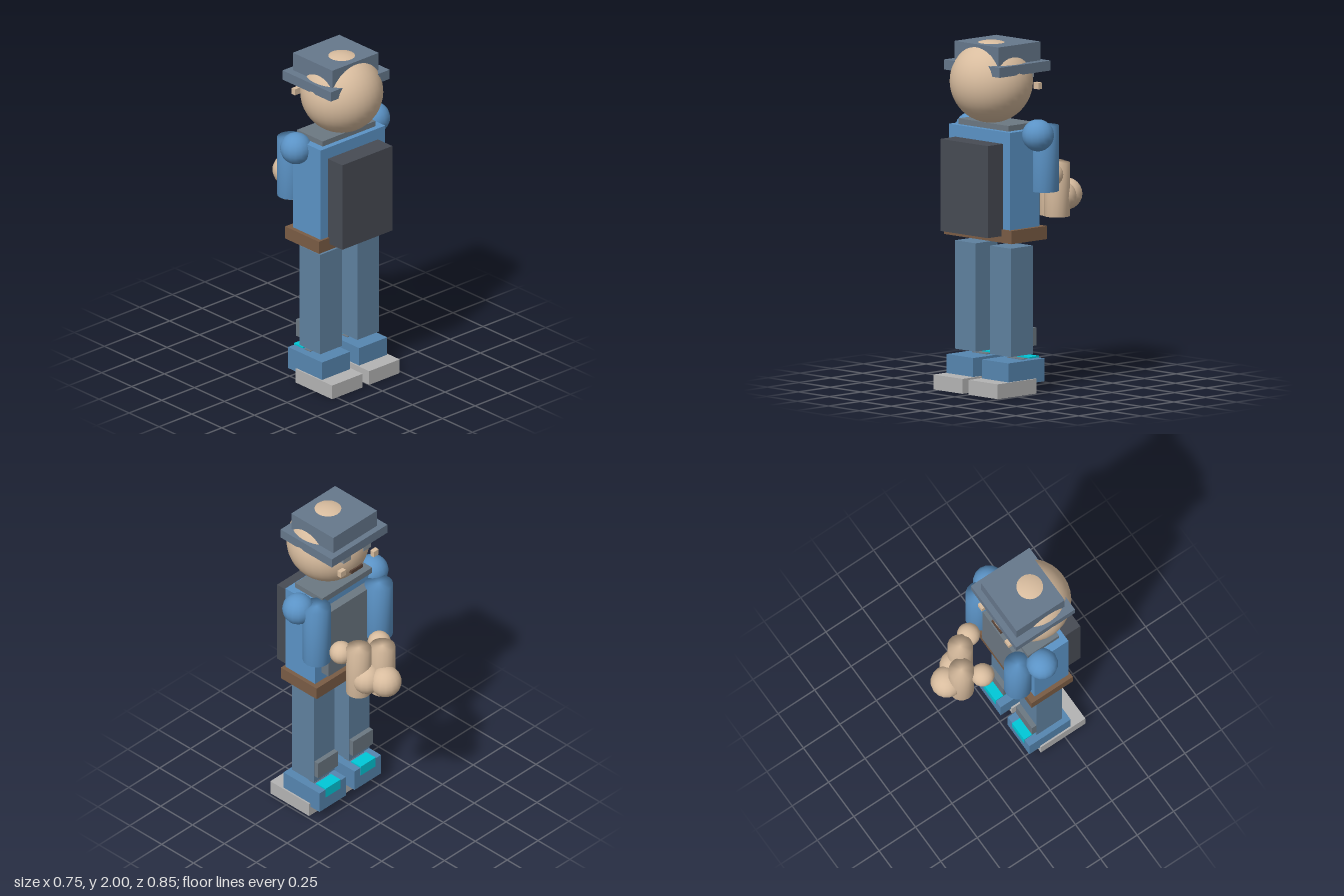
import * as THREE from 'three';
import { mergeVertices } from 'three/addons/utils/BufferGeometryUtils.js';

const mat = (color) => new THREE.MeshStandardMaterial({ color });
const COLORS = {
  skin: mat(0xd9bd9f), shirt: mat(0x5b93c6), trousers: mat(0x5f819f), shoe: mat(0x5686b0),
  hat: mat(0x66788c), plate: mat(0x6c7882), pack: mat(0x474b54), belt: mat(0x7a5c45),
  sole: mat(0xb4b4b4), lace: mat(0x00c8d8), eye: mat(0x8a949c), mouth: mat(0x5a4438),
};

export function createModel() {
  const model = new THREE.Group();
  model.name = 'figure';

  const add = (name, geometry, color, x, y, z) => {
    const mesh = new THREE.Mesh(geometry, COLORS[color]);
    mesh.name = name;
    mesh.position.set(x, y, z);
    model.add(mesh);
    return mesh;
  };

  // Box given by its [min, max] extents along each axis
  const box = (name, color, [x0, x1], [y0, y1], [z0, z1]) =>
    add(name, new THREE.BoxGeometry(x1 - x0, y1 - y0, z1 - z0), color,
      (x0 + x1) / 2, (y0 + y1) / 2, (z0 + z1) / 2);

  const ball = (name, color, r, x, y, z, seg = 16) =>
    add(name, new THREE.SphereGeometry(r, seg, Math.round(seg * 0.75)), color, x, y, z);

  // Upright cylinder whose normals flow smoothly over the cap edges
  const limb = (name, color, r, x, [y0, y1], z) => {
    let g = new THREE.CylinderGeometry(r, r, y1 - y0, 16);
    g.deleteAttribute('normal');
    g.deleteAttribute('uv');
    g = mergeVertices(g);
    g.computeVertexNormals();
    return add(name, g, color, x, (y0 + y1) / 2, z);
  };

  const cx = -0.025; // body centre line

  // Head and hat
  ball('head', 'skin', 0.235, cx, 1.765, 0.188, 32);
  box('hatBrim', 'hat', [-0.25, 0.2], [1.823, 1.88], [-0.06, 0.342]);
  box('hatCrown', 'hat', [-0.203, 0.152], [1.88, 1.987], [-0.025, 0.304]);

  // Face
  for (const [side, s] of [['left', 1], ['right', -1]]) {
    const eye = cx + s * 0.08, cheek = cx + s * 0.133;
    box(side + 'Eye', 'eye', [eye - 0.03, eye + 0.03], [1.775, 1.822], [-0.042, -0.018]);
    box(side + 'Cheek', 'skin', [cheek - 0.02, cheek + 0.02], [1.71, 1.747], [-0.062, -0.035]);
  }
  box('mouth', 'mouth', [cx - 0.045, cx + 0.045], [1.668, 1.69], [-0.042, -0.018]);

  // Torso
  box('collar', 'plate', [-0.227, 0.177], [1.5, 1.537], [0.037, 0.25]);
  box('torso', 'shirt', [-0.272, 0.222], [0.95, 1.505], [0.05, 0.282]);
  box('chestPlate', 'plate', [-0.22, 0.17], [1.003, 1.45], [-0.005, 0.055]);
  box('backpack', 'pack', [-0.217, 0.166], [0.912, 1.437], [0.28, 0.402]);
  box('belt', 'belt', [-0.297, 0.247], [0.875, 0.95], [0.013, 0.295]);

  // Arms: shoulder, upper arm, elbow, forearm, hand
  const arms = [
    { side: 'left', shoulder: [0.284, 1.482, 0.122], upper: [0.236, [1.15, 1.525], 0.023],
      elbow: [0.165, 1.222, -0.1], fore: [0.117, [0.972, 1.278], -0.191], hand: [0.098, 1.077, -0.236] },
    { side: 'right', shoulder: [-0.286, 1.46, 0.092], upper: [-0.216, [1.113, 1.467], -0.026],
      elbow: [-0.073, 1.2, -0.168], fore: [0, [0.96, 1.267], -0.263], hand: [0.046, 1.077, -0.333] },
  ];
  for (const a of arms) {
    ball(a.side + 'Shoulder', 'shirt', 0.091, ...a.shoulder);
    limb(a.side + 'UpperArm', 'shirt', 0.08, ...a.upper);
    ball(a.side + 'Elbow', 'skin', 0.067, ...a.elbow);
    limb(a.side + 'Forearm', 'skin', 0.073, ...a.fore);
    ball(a.side + 'Hand', 'skin', 0.091, ...a.hand);
  }

  // Legs and shoes
  for (const [side, x] of [['left', 0.117], ['right', -0.167]]) {
    const span = (h) => [x - h, x + h];
    box(side + 'Leg', 'trousers', span(0.083), [0.222, 0.84], [0.08, 0.254]);
    box(side + 'ShinGuard', 'plate', span(0.08), [0.267, 0.37], [0.05, 0.09]);
    box(side + 'Shoe', 'shoe', span(0.107), [0.062, 0.193], [0.013, 0.296]);
    box(side + 'Sole', 'sole', span(0.117), [0, 0.085], [0.085, 0.39]);
    box(side + 'ShoeLight', 'lace', span(0.06), [0.14, 0.202], [0.01, 0.085]);
    box(side + 'ShoeTongue', 'plate', span(0.06), [0.17, 0.197], [0.1, 0.145]);
  }

  return model;
}
